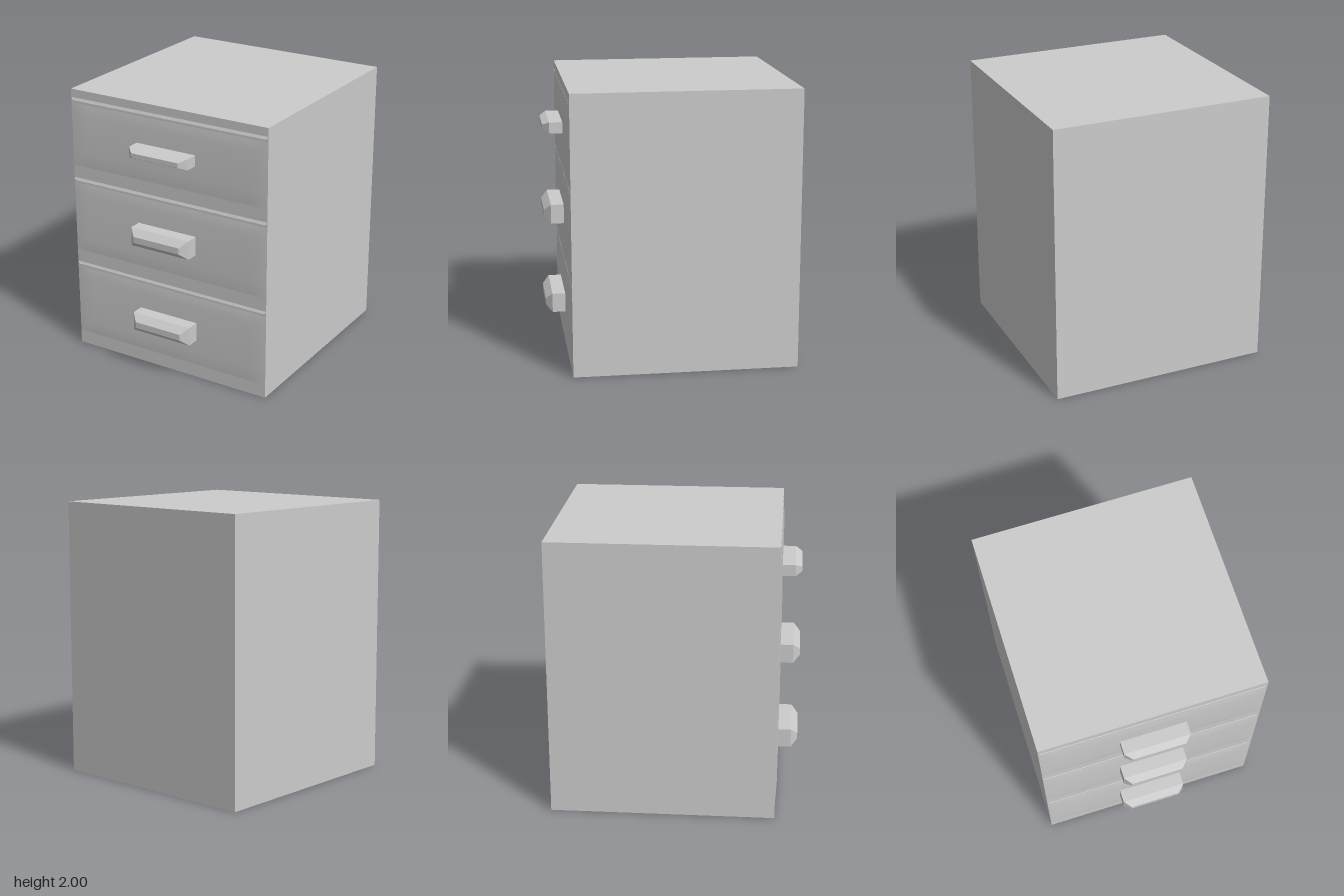
import * as THREE from 'three';

const BACK = -0.875, FRONT = 0.725, GROOVE_DEPTH = 0.013, HALF = 0.8;
const grey = new THREE.MeshStandardMaterial({ color: 0xcccccc });
const flat = new THREE.MeshStandardMaterial({ color: 0xcccccc, flatShading: true });
const thin = new THREE.MeshStandardMaterial({ color: 0xcccccc, side: THREE.DoubleSide });

function part(name, geometry, material, x = 0, y = 0, z = 0) {
  const mesh = new THREE.Mesh(geometry, material);
  mesh.name = name;
  mesh.position.set(x, y, z);
  return mesh;
}

// groove outline: wide at the top, clipped at the lower corners
const grooveOutline = (top, bottom) => [
  [-0.797, top], [0.797, top], [0.797, bottom + 0.012], [0.782, bottom],
  [-0.782, bottom], [-0.797, bottom + 0.012],
].map(([x, y]) => new THREE.Vector2(x, y));

// thin front plate pierced by the finger grooves
function frontPlate(drawers) {
  const shape = new THREE.Shape([[-HALF, 0], [HALF, 0], [HALF, 2], [-HALF, 2]]
    .map(([x, y]) => new THREE.Vector2(x, y)));
  for (const d of drawers) shape.holes.push(new THREE.Path(grooveOutline(d.top + 0.023, d.top)));
  return new THREE.ExtrudeGeometry(shape, { depth: GROOVE_DEPTH, bevelEnabled: false });
}

// sloping drawer lip inside a groove, leaning back toward the top
function lip(top) {
  const g = new THREE.ShapeGeometry(new THREE.Shape(grooveOutline(top + 0.023, top)));
  const p = g.attributes.position;
  for (let i = 0; i < p.count; i++) {
    p.setZ(i, FRONT - 0.0005 - 0.011 * (p.getY(i) - top) / 0.023);
  }
  g.computeVertexNormals();
  return g;
}

// softly bulging drawer face with a flat middle
function bulge(low, high) {
  const xs = [-HALF, -0.67, 0.67, HALF];
  const ys = [high, high - 0.08, low + 0.1, low];
  const g = new THREE.PlaneGeometry(1, 1, 3, 3);
  const p = g.attributes.position;
  for (let i = 0; i < p.count; i++) {
    const c = i % 4, r = Math.floor(i / 4);
    const inner = c % 3 !== 0 && r % 3 !== 0;
    p.setXYZ(i, xs[c], ys[r], FRONT + (inner ? 0.01 : 0.0005));
  }
  g.computeVertexNormals();
  return g;
}

// block handle whose front tapers to a smaller face
function handle(height, faceHeight) {
  const g = new THREE.BoxGeometry(0.476, height, 1, 1, 1, 2);
  const p = g.attributes.position;
  for (let i = 0; i < p.count; i++) {
    const z = p.getZ(i);
    if (z > 0.25) {
      p.setX(i, Math.sign(p.getX(i)) * 0.188);
      p.setY(i, Math.sign(p.getY(i)) * faceHeight / 2);
    }
    p.setZ(i, z > 0.25 ? 0.875 : z < -0.25 ? FRONT - 0.005 : 0.828);
  }
  g.computeVertexNormals();
  return g;
}

export function createModel() {
  const model = new THREE.Group();
  model.name = 'drawerCabinet';
  const drawers = [
    { name: 'topDrawer', low: 1.43, top: 1.916, handleY: 1.666, height: 0.08, face: 0.034 },
    { name: 'middleDrawer', low: 0.77, top: 1.312, handleY: 1.037, height: 0.138, face: 0.046 },
    { name: 'bottomDrawer', low: 0.1, top: 0.65, handleY: 0.37, height: 0.138, face: 0.046 },
  ];

  // cabinet
  const depth = FRONT - GROOVE_DEPTH - BACK;
  model.add(part('cabinetBody', new THREE.BoxGeometry(2 * HALF, 2, depth), grey, 0, 1, BACK + depth / 2));
  model.add(part('frontPlate', frontPlate(drawers), grey, 0, 0, FRONT - GROOVE_DEPTH));

  // drawers
  for (const d of drawers) {
    const drawer = new THREE.Group();
    drawer.name = d.name;
    drawer.add(part('drawerLip', lip(d.top), thin));
    drawer.add(part('drawerFace', bulge(d.low, d.top - 0.016), thin));
    drawer.add(part('handle', handle(d.height, d.face), flat, 0, d.handleY));
    model.add(drawer);
  }
  return model;
}
